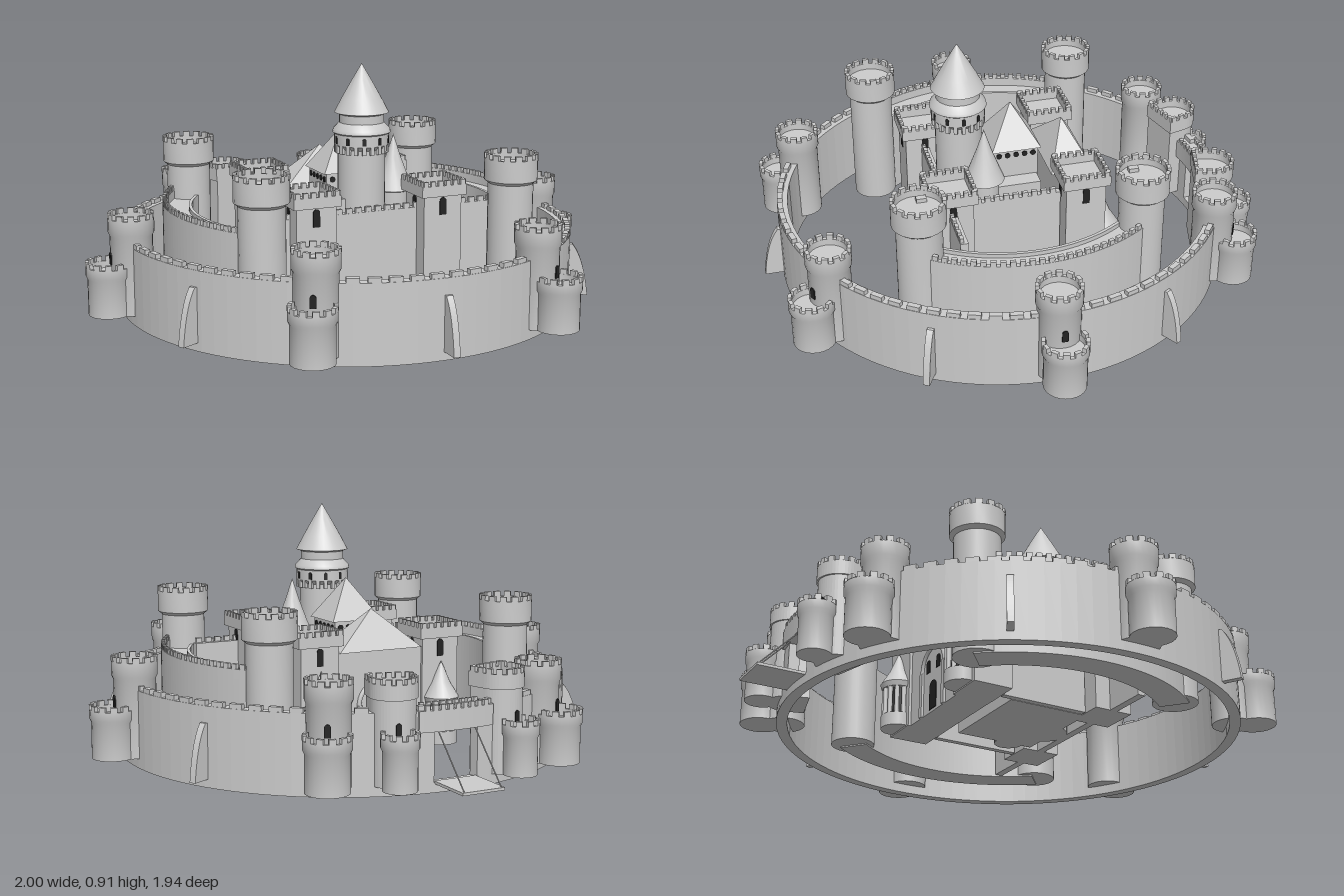
import * as THREE from 'three';
import { toCreasedNormals } from 'three/addons/utils/BufferGeometryUtils.js';

const PI = Math.PI, V2 = THREE.Vector2;
const stone = new THREE.MeshStandardMaterial({ color: 0xcccccc, side: THREE.DoubleSide });
const facet = new THREE.MeshStandardMaterial({ color: 0xcccccc, flatShading: true });
const dark = new THREE.MeshStandardMaterial({ color: 0x222222 });

function add(parent, name, geo, x = 0, y = 0, z = 0, mat = stone) {
  const m = new THREE.Mesh(geo, mat);
  m.name = name;
  m.position.set(x, y, z);
  parent.add(m);
  return m;
}
function group(parent, name, x = 0, y = 0, z = 0, ry = 0) {
  const g = new THREE.Group();
  g.name = name;
  g.position.set(x, y, z);
  g.rotation.y = ry;
  parent.add(g);
  return g;
}
// box given by its ranges
function block(parent, name, x0, x1, y0, y1, z0, z1) {
  return add(parent, name, new THREE.BoxGeometry(x1 - x0, y1 - y0, z1 - z0), (x0 + x1) / 2, (y0 + y1) / 2, (z0 + z1) / 2);
}
// plan outline raised from y0 to y1 (plan y becomes -z)
function slab(shape, y0, y1, seg = 12) {
  const g = new THREE.ExtrudeGeometry(shape, { depth: y1 - y0, bevelEnabled: false, curveSegments: seg });
  return g.rotateX(-PI / 2).translate(0, y0, 0);
}
const lathe = (pts, seg = 24) => toCreasedNormals(new THREE.LatheGeometry(pts.map(p => new V2(...p)), seg), 0.6);
const pyramid = (w, h, d) => new THREE.ConeGeometry(Math.SQRT1_2, 1, 4).rotateY(PI / 4).scale(w, h, d);

// dark arched opening facing +z
function arch(w, h) {
  const s = new THREE.Shape();
  s.moveTo(-w / 2, 0);
  s.lineTo(w / 2, 0);
  s.lineTo(w / 2, h - w / 2);
  s.absarc(0, h - w / 2, w / 2, 0, PI, false);
  return new THREE.ExtrudeGeometry(s, { depth: 0.004, bevelEnabled: false, curveSegments: 6 });
}

// ring of merlons on a round wall, t = 0 faces +z
function roundMerlons(parent, r, y, n, t0 = 0, t1 = 2 * PI, fill = 0.6, h = 0.018, thick = 0.014) {
  const step = (t1 - t0) / n, geo = new THREE.BoxGeometry(r * step * fill, h, thick);
  for (let i = 0; i < n; i++) {
    const t = t0 + step * (i + 0.5);
    add(parent, 'merlon', geo, r * Math.sin(t), y + h / 2, r * Math.cos(t)).rotation.y = t;
  }
}
function straightMerlons(parent, x0, z0, x1, z1, y, n) {
  const dx = x1 - x0, dz = z1 - z0, ry = Math.atan2(-dz, dx);
  const geo = new THREE.BoxGeometry(Math.hypot(dx, dz) / n * 0.6, 0.018, 0.014);
  for (let i = 0; i < n; i++) {
    const k = (i + 0.5) / n;
    add(parent, 'merlon', geo, x0 + dx * k, y + 0.009, z0 + dz * k).rotation.y = ry;
  }
}
function arcWall(parent, name, ri, ro, y0, y1, t0, t1, seg) {
  const s = new THREE.Shape(), a = t0 - PI / 2, b = t1 - PI / 2;
  s.absarc(0, 0, ro, a, b, false);
  s.absarc(0, 0, ri, b, a, true);
  return add(parent, name, slab(s, y0, y1, seg), 0, 0, 0);
}

// round tower with a wider hollow head and merlons
function roundTower(parent, name, x, z, r, R, headY, top, n = 12) {
  const g = group(parent, name, x, 0, z), p = top - 0.018;
  add(g, 'towerBody', lathe([[0, 0.035], [r, 0.035], [r, headY - 0.012], [R, headY], [R, p], [R - 0.014, p],
    [R - 0.014, p - 0.025], [0, p - 0.025]]));
  roundMerlons(g, R - 0.007, p, n);
  return g;
}

// square tower with overhanging crown
function squareTower(parent, name, x, z) {
  const g = group(parent, name, x, 0, z), a = 0.09, b = 0.076, c = 0.083;
  block(g, 'towerBody', -b, b, 0.03, 0.44, -b, b);
  for (const s of [-1, 1]) {
    block(g, 'parapet', s * c - 0.007, s * c + 0.007, 0.43, 0.47, -a, a);
    block(g, 'parapet', -b, b, 0.43, 0.47, s * c - 0.007, s * c + 0.007);
    straightMerlons(g, -a, s * c, a, s * c, 0.47, 6);
    straightMerlons(g, s * c, -a, s * c, a, 0.47, 6);
  }
  for (let i = 0; i < 4; i++) {
    const side = group(g, 'towerSide', 0, 0, 0, i * PI / 2);
    add(side, 'window', arch(0.026, 0.065), 0, 0.36, b - 0.001, dark);
  }
}

function dShape(r, back) {
  const s = new THREE.Shape();
  s.absarc(0, 0, r, PI, 2 * PI, false);
  s.lineTo(r, back);
  s.lineTo(-r, back);
  s.closePath();
  return s;
}

function outerWall(root) {
  const ring = group(root, 'outerWall', 0, 0, 0.05);
  const gap = 0.1, t0 = PI + gap, t1 = 3 * PI - gap;
  arcWall(ring, 'curtainWall', 0.81, 0.85, 0, 0.283, t0, t1, 48);
  roundMerlons(ring, 0.838, 0.283, 72, t0, t1, 0.65, 0.017, 0.02);
  // tower pairs every sixty degrees, leaving the back for the gate
  for (let i = 0; i < 6; i++) {
    const side = group(ring, 'towerPair', 0, 0, 0, PI / 6 * (2 * i + 1));
    roundTower(side, 'tallTower', 0, 0.832, 0.077, 0.083, 0.33, 0.4);
    roundTower(side, 'shortTower', 0, 0.917, 0.077, 0.083, 0.18, 0.23);
    add(side, 'doorway', arch(0.022, 0.045), 0, 0.215, 0.908, dark);
  }
  // curved buttresses
  const s = new THREE.Shape();
  s.moveTo(0.84, 0.03);
  s.lineTo(0.92, 0.03);
  s.quadraticCurveTo(0.905, 0.17, 0.86, 0.225);
  s.lineTo(0.84, 0.225);
  const fin = new THREE.ExtrudeGeometry(s, { depth: 0.024, bevelEnabled: false }).translate(0, 0, -0.012).rotateY(-PI / 2);
  for (let i = 0; i < 6; i++) if (i !== 3) add(ring, 'buttress', fin).rotation.y = i * PI / 3;

  // gatehouse
  const gate = group(ring, 'gatehouse', 0, 0, 0, PI);
  arcWall(gate, 'gateLintel', 0.79, 0.86, 0.21, 0.283, -0.17, 0.17, 8);
  arcWall(gate, 'threshold', 0.81, 0.85, 0, 0.035, -gap, gap, 8);
  for (const r of [0.797, 0.853]) roundMerlons(gate, r, 0.283, 9, -0.15, 0.15);
  for (const k of [-1, 1]) {
    const side = group(gate, 'gateTower', 0, 0, 0, k * 0.262);
    const tower = group(side, 'roundedTower', 0, 0, 0.817);
    add(tower, 'towerBody', slab(dShape(0.077, 0.068), 0.035, 0.355));
    const rim = dShape(0.083, 0.072);
    rim.holes.push(dShape(0.069, 0.058));
    add(tower, 'parapet', slab(rim, 0.33, 0.382));
    roundMerlons(tower, 0.076, 0.382, 7, -PI / 2, PI / 2);
    straightMerlons(tower, -0.083, -0.065, 0.083, -0.065, 0.382, 5);
    for (const e of [-1, 1]) straightMerlons(tower, e * 0.076, -0.072, e * 0.076, 0, 0.382, 2);
    roundTower(side, 'shortTower', 0, 0.912, 0.06, 0.066, 0.18, 0.23, 10);
    add(side, 'doorway', arch(0.02, 0.04), 0, 0.215, 0.893, dark);
    // drawbridge chain
    const chain = new THREE.LineCurve3(new THREE.Vector3(k * 0.072, 0.038, 1.015), new THREE.Vector3(k * 0.072, 0.21, 0.85));
    add(gate, 'chain', new THREE.TubeGeometry(chain, 1, 0.0025, 5));
  }
  block(gate, 'drawbridge', -0.082, 0.082, 0.03, 0.04, 0.84, 1.02);
}

function innerWalls(root) {
  const g = group(root, 'innerWalls', 0, 0, 0.05);
  for (const k of [-1, 1]) {
    const c = k * PI / 2, a = c - 0.7, b = c + 0.7;
    arcWall(g, 'innerWall', 0.575, 0.685, 0.03, 0.35, a, b, 20);
    arcWall(g, 'outerParapet', 0.668, 0.685, 0.35, 0.383, a, b, 20);
    arcWall(g, 'innerLip', 0.575, 0.587, 0.35, 0.366, a, b, 20);
    roundMerlons(g, 0.677, 0.383, 28, a, b);
    for (const e of [-1, 1]) {
      const t = roundTower(g, 'innerTower', k * 0.485, e * 0.407, 0.083, 0.098, 0.49, 0.588, 14);
      block(t, 'hatch', -k * 0.05 - 0.012, -k * 0.05 + 0.012, 0.54, 0.56, -e * 0.02 - 0.018, -e * 0.02 + 0.018);
    }
  }
}

function keep(root) {
  const g = group(root, 'keep');
  // walls between the square towers
  block(g, 'frontWall', -0.5, 0.5, 0.03, 0.382, 0.285, 0.315);
  straightMerlons(g, -0.5, 0.307, 0.5, 0.307, 0.382, 26);
  for (const k of [-1, 1]) {
    block(g, 'sideWall', k * 0.25 - 0.012, k * 0.25 + 0.012, 0.03, 0.382, -0.12, 0.22);
    straightMerlons(g, k * 0.255, -0.11, k * 0.255, 0.21, 0.382, 9);
    squareTower(g, 'frontSquareTower', k * 0.25, 0.3);
    squareTower(g, 'backSquareTower', k * 0.25, -0.2);
    // slender columned turret behind each back tower
    const t = group(g, 'columnTurret', k * 0.25, 0, -0.285);
    add(t, 'turretBase', new THREE.CylinderGeometry(0.062, 0.062, 0.05, 16), 0, 0.06, 0);
    add(t, 'turretCore', new THREE.CylinderGeometry(0.042, 0.042, 0.12, 16), 0, 0.14, 0, dark);
    for (let i = 0; i < 12; i++) {
      const a = i * PI / 6;
      add(t, 'column', new THREE.CylinderGeometry(0.01, 0.01, 0.12, 6), 0.051 * Math.sin(a), 0.14, 0.051 * Math.cos(a));
    }
    add(t, 'turretRoof', lathe([[0, 0.19], [0.062, 0.19], [0.068, 0.21], [0.034, 0.265], [0, 0.345]], 16));
  }
  // hall with hipped roof and arched door
  block(g, 'hall', -0.18, 0.18, 0.03, 0.4, -0.265, -0.125);
  add(g, 'hallRoof', pyramid(0.34, 0.145, 0.165), 0, 0.4725, -0.195, facet);
  const back = group(g, 'hallBack', 0, 0, -0.264, PI);
  add(back, 'doorArch', new THREE.TorusGeometry(0.085, 0.01, 6, 20, PI), 0, 0.2, 0);
  for (const k of [-1, 1]) {
    block(back, 'doorPost', k * 0.085 - 0.01, k * 0.085 + 0.01, 0.03, 0.2, -0.01, 0.01);
    add(back, 'window', arch(0.026, 0.05), k * 0.038, 0.19, 0, dark);
  }
  add(back, 'door', arch(0.05, 0.11), 0, 0.04, 0, dark);

  // main block with raised, roofed storey
  block(g, 'mainBlock', -0.235, 0.155, 0.03, 0.37, -0.075, 0.24);
  block(g, 'annex', -0.155, 0, 0.37, 0.42, 0.07, 0.24);
  block(g, 'upperStorey', -0.09, 0.09, 0.36, 0.485, -0.08, 0.09);
  add(g, 'upperRoof', pyramid(0.205, 0.155, 0.19), 0, 0.5625, 0.005, facet);
  for (let i = 0; i < 4; i++) {
    const side = group(g, 'storeySide', 0, 0, 0.005, i * PI / 2);
    for (let j = -2; j <= 2; j++)
      add(side, 'window', new THREE.CylinderGeometry(0.011, 0.011, 0.006, 10).rotateX(PI / 2), j * 0.033, 0.462, i % 2 ? 0.09 : 0.085, dark);
  }

  // great tower
  const t = group(g, 'greatTower', 0, 0, 0.205);
  add(t, 'shaft', lathe([[0, 0.03], [0.087, 0.03], [0.087, 0.6], [0.1, 0.615], [0.1, 0.655], [0.107, 0.66],
    [0.104, 0.672], [0.082, 0.695], [0.082, 0.73], [0, 0.73]], 32));
  add(t, 'spire', lathe([[0, 0.725], [0.082, 0.725], [0.1, 0.732], [0.072, 0.785], [0.035, 0.85], [0, 0.91]], 32));
  for (let i = 0; i < 20; i++) {
    const a = group(t, 'corbelBay', 0, 0, 0, i * PI / 10);
    block(a, 'corbel', -0.007, 0.007, 0.585, 0.618, 0.08, 0.1);
    if (i % 2) add(a, 'window', arch(0.014, 0.028), 0, 0.62, 0.097, dark);
  }

  // small turret beside it
  const s = group(g, 'sideTurret', 0.158, 0, 0.145);
  add(s, 'shaft', new THREE.CylinderGeometry(0.055, 0.055, 0.4, 24), 0, 0.23, 0);
  add(s, 'spire', lathe([[0, 0.415], [0.055, 0.415], [0.076, 0.422], [0.056, 0.47], [0.028, 0.545], [0, 0.63]]));
}

export function createModel() {
  const root = new THREE.Group();
  root.name = 'castle';
  outerWall(root);
  innerWalls(root);
  keep(root);
  return root;
}
